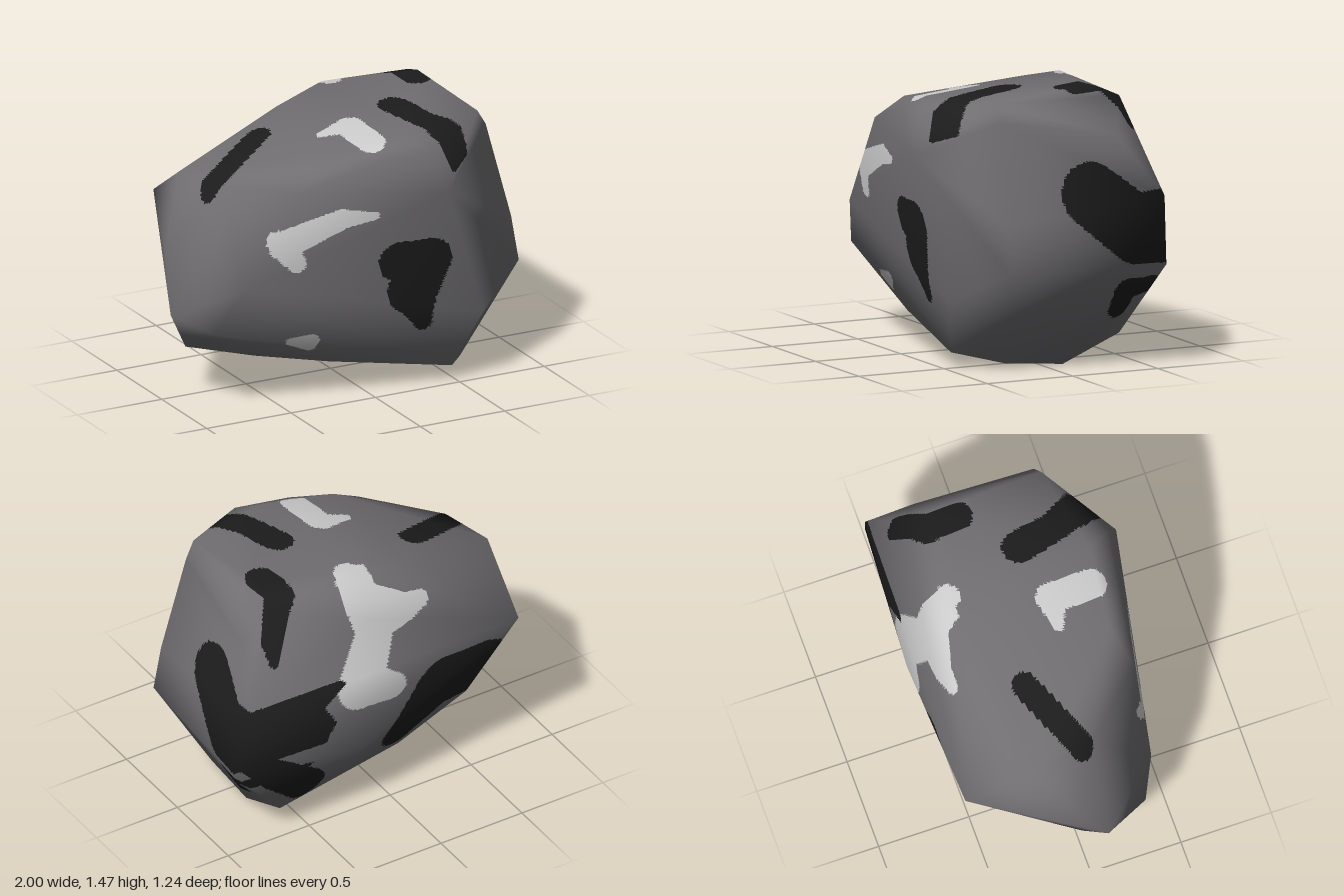
import * as THREE from 'three';
import { mergeVertices } from 'three/addons/utils/BufferGeometryUtils.js';
import { ConvexGeometry } from 'three/addons/geometries/ConvexGeometry.js';

// Main corners of the boulder, region by region
const leftEnd = [[-1, 0.5, 0.1], [-0.86, 0.27, 0], [-0.95, 0.78, -0.05], [-0.87, 0.45, 0.35], [-0.73, 0.7, 0.43]];
const top = [[-0.79, 1.17, -0.2], [-0.72, 1.17, 0.1], [-0.2, 1.33, 0.38], [-0.16, 1.39, -0.3], [0.14, 1.46, -0.36],
  [0.65, 1.47, -0.25], [0.7, 1.42, 0.32], [0.22, 1.4, 0.42], [0.69, 1.41, -0.43]];
const front = [[0.37, 1.12, 0.62], [0.3, 1.33, 0.55], [0, 1.31, 0.5], [-0.4, 1.19, 0.45], [0.62, 0.38, 0.53]];
const rightEnd = [[0.94, 0.55, 0.33], [0.9, 0.8, 0.32], [0.76, 1.33, 0.3], [0.82, 1.22, -0.35], [1, 0.55, -0.55]];
const back = [[0.92, 0.9, -0.58], [0.14, 0.75, -0.62], [-0.73, 0.93, -0.6], [0.14, 1.21, -0.52], [0.2, 0.42, -0.56],
  [-0.5, 0.45, -0.45]];
const bottom = [[0.65, 0, -0.12], [0.65, 0.03, 0.22], [0.48, 0.08, 0.45], [0.65, 0.14, -0.45], [-0.2, 0.19, 0.36],
  [-0.48, 0.17, 0.05], [-0.1, 0.25, -0.42]];

// A patch is a rounded brush stroke through [u, v, radius] points on one side of the boulder
const stroke = (tone, u, v, facing, sign, path) => ({ tone, u, v, facing, sign, path });
const patches = [
  // front
  stroke('light', 'x', 'y', 'z', 1, [[-0.45, 0.81, 0.05], [-0.52, 0.92, 0.08], [-0.2, 1.03, 0.055], [-0.02, 1.03, 0.02]]),
  stroke('light', 'x', 'y', 'z', 1, [[-0.45, 0.35, 0.02], [-0.33, 0.33, 0.05]]),
  stroke('dark', 'x', 'y', 'z', 1, [[0.12, 0.75, 0.11], [0.29, 0.73, 0.13], [0.22, 0.58, 0.15], [0.29, 0.37, 0.05]]),
  // right end
  stroke('dark', 'z', 'y', 'x', 1, [[-0.17, 0.93, 0.17], [-0.4, 0.74, 0.18], [-0.6, 0.75, 0.19]]),
  stroke('dark', 'z', 'y', 'x', 1, [[-0.35, 0.31, 0.06], [-0.36, 0.42, 0.06], [-0.5, 0.44, 0.05]]),
  // top
  stroke('dark', 'x', 'z', 'y', 1, [[-0.71, 0.04, 0.07], [-0.36, -0.14, 0.07]]),
  stroke('dark', 'x', 'z', 'y', 1, [[0.34, 0.07, 0.09], [0.39, 0.28, 0.08], [0.47, 0.46, 0.1]]),
  stroke('dark', 'x', 'z', 'y', 1, [[0.6, -0.18, 0.08], [0.59, -0.35, 0.08], [0.72, -0.47, 0.05]]),
  stroke('light', 'x', 'z', 'y', 1, [[-0.12, 0.13, 0.03], [0.03, 0.14, 0.08], [0.04, 0.37, 0.08]]),
  stroke('light', 'x', 'z', 'y', 1, [[-0.14, -0.5, 0.03], [0.18, -0.47, 0.08], [0.19, -0.38, 0.07]]),
  // back
  stroke('light', 'x', 'y', 'z', -1, [[0.05, 0.8, 0.08], [0.24, 0.87, 0.14], [0.1, 1.18, 0.11], [-0.2, 1.2, 0.04]]),
  stroke('light', 'x', 'y', 'z', -1, [[0.1, 1.2, 0.1], [0.17, 1.42, 0.1]]),
  stroke('dark', 'x', 'y', 'z', -1, [[-0.06, 0.4, 0.12], [-0.28, 0.66, 0.2], [-0.5, 0.66, 0.2]]),
  stroke('dark', 'x', 'y', 'z', -1, [[0.95, 0.63, 0.05], [0.7, 0.42, 0.1], [0.52, 0.28, 0.11]]),
  // underside
  stroke('light', 'x', 'z', 'y', -1, [[0.45, -0.13, 0.12], [0.32, 0.03, 0.12], [0.12, -0.06, 0.1]]),
];

// True when (u, v) lies under a stroke whose width tapers between its points
function covers(path, u, v) {
  return path.slice(1).some(([bu, bv, br], i) => {
    const [au, av, ar] = path[i];
    const du = bu - au, dv = bv - av;
    const t = THREE.MathUtils.clamp(((u - au) * du + (v - av) * dv) / (du * du + dv * dv), 0, 1);
    return Math.hypot(u - au - t * du, v - av - t * dv) < ar + t * (br - ar);
  });
}

function toneAt(p, n) {
  const patch = patches.find((k) => n[k.facing] * k.sign > 0.28 && covers(k.path, p[k.u], p[k.v]));
  return patch ? patch.tone : 'base';
}

export function createModel() {
  // Boulder hull with smooth shading across its corners
  const points = [leftEnd, top, front, rightEnd, back, bottom].flat().map((c) => new THREE.Vector3(...c));
  let hull = new ConvexGeometry(points);
  hull.deleteAttribute('normal');
  hull = mergeVertices(hull, 1e-4);
  hull.computeVertexNormals();

  // Split each facet finely and sort the pieces by colour
  const bins = {};
  for (const tone of ['base', 'dark', 'light']) bins[tone] = { position: [], normal: [] };
  const read = (name, i) => new THREE.Vector3().fromBufferAttribute(hull.attributes[name], i);
  const idx = hull.index.array;
  for (let t = 0; t < idx.length; t += 3) {
    const P = [0, 1, 2].map((k) => read('position', idx[t + k]));
    const N = [0, 1, 2].map((k) => read('normal', idx[t + k]));
    const longest = Math.max(P[0].distanceTo(P[1]), P[1].distanceTo(P[2]), P[2].distanceTo(P[0]));
    const n = Math.ceil(longest / 0.022);
    const blend = (V, i, j) => V[0].clone().multiplyScalar(1 - (i + j) / n)
      .addScaledVector(V[1], i / n).addScaledVector(V[2], j / n);
    const add = (cells) => {
      const ci = (cells[0][0] + cells[1][0] + cells[2][0]) / 3;
      const cj = (cells[0][1] + cells[1][1] + cells[2][1]) / 3;
      const bin = bins[toneAt(blend(P, ci, cj), blend(N, ci, cj).normalize())];
      for (const [i, j] of cells) {
        bin.position.push(...blend(P, i, j).toArray());
        bin.normal.push(...blend(N, i, j).normalize().toArray());
      }
    };
    for (let i = 0; i < n; i++) {
      for (let j = 0; i + j < n; j++) {
        add([[i, j], [i + 1, j], [i, j + 1]]);
        if (i + j < n - 1) add([[i + 1, j], [i + 1, j + 1], [i, j + 1]]);
      }
    }
  }

  // One mesh for each colour
  const group = new THREE.Group();
  group.name = 'boulder';
  const parts = [['base', 'rock', 'stoneGrey', 0x6f6d70], ['dark', 'darkPatches', 'charcoal', 0x1c1c1c],
    ['light', 'lightPatches', 'paleGrey', 0xcccccc]];
  for (const [tone, name, colourName, color] of parts) {
    const geometry = new THREE.BufferGeometry();
    for (const key of ['position', 'normal']) {
      geometry.setAttribute(key, new THREE.Float32BufferAttribute(bins[tone][key], 3));
    }
    const material = new THREE.MeshStandardMaterial({ color });
    material.name = colourName;
    const mesh = new THREE.Mesh(geometry, material);
    mesh.name = name;
    group.add(mesh);
  }
  return group;
}
